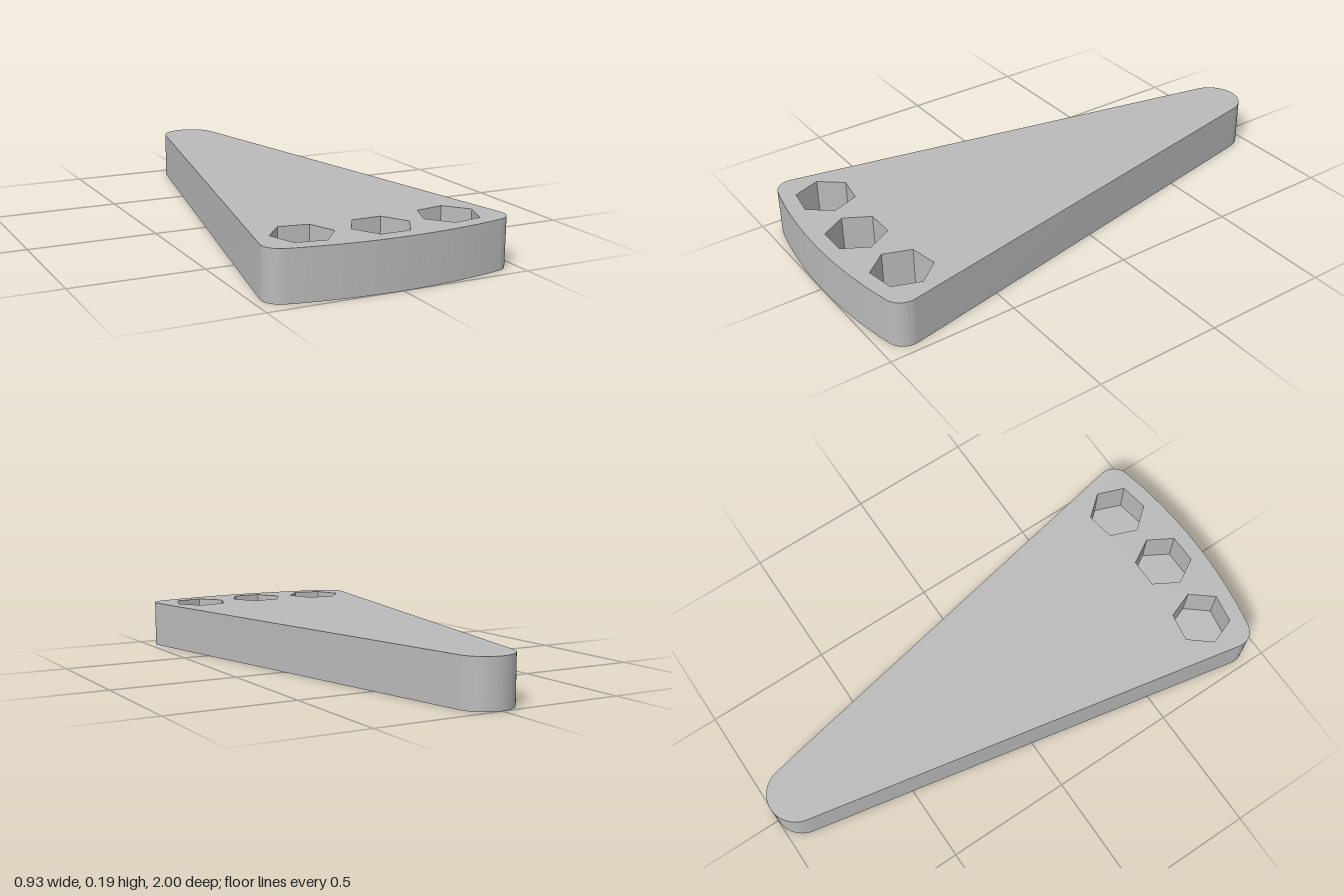
import * as THREE from 'three';
import { toCreasedNormals } from 'three/addons/utils/BufferGeometryUtils.js';

const HEIGHT = 0.186;
const PIVOT = 0.885; // narrow end centre, measured towards the back
const rad = THREE.MathUtils.degToRad;

// Plan points are (x, -z), anticlockwise seen from above
function arc(cx, cy, r, from, to, steps) {
  return Array.from({ length: steps + 1 }, (_, i) => {
    const a = rad(from + ((to - from) * i) / steps);
    return new THREE.Vector2(cx + r * Math.cos(a), cy + r * Math.sin(a));
  });
}

function hexagon(cx, cy, r, turn) {
  return arc(cx, cy, r, turn, turn + 300, 5);
}

// Flat face at height y, facing up or down
function cap(outline, holes, y, up) {
  const shape = new THREE.Shape(outline);
  shape.holes = holes.map((h) => new THREE.Path(h));
  const g = new THREE.ShapeGeometry(shape);
  if (!up) {
    const index = g.index.array;
    for (let i = 0; i < index.length; i += 3) {
      [index[i], index[i + 1]] = [index[i + 1], index[i]];
    }
    g.computeVertexNormals();
  }
  return g.rotateX(-Math.PI / 2).translate(0, y, 0);
}

// Upright wall round a closed loop, facing out or in
function wall(loop, y0, y1, inward = false) {
  const pts = inward ? [...loop].reverse() : loop;
  const v = [];
  pts.forEach((p, i) => {
    const q = pts[(i + 1) % pts.length];
    v.push(p.x, y0, -p.y, q.x, y0, -q.y, q.x, y1, -q.y);
    v.push(p.x, y0, -p.y, q.x, y1, -q.y, p.x, y1, -p.y);
  });
  const g = new THREE.BufferGeometry();
  g.setAttribute('position', new THREE.Float32BufferAttribute(v, 3));
  g.computeVertexNormals();
  return toCreasedNormals(g, rad(30));
}

export function createModel() {
  const group = new THREE.Group();
  group.name = 'wedge';
  const grey = new THREE.MeshStandardMaterial({ color: 0xbababa });
  grey.name = 'grey';
  const add = (name, geometry) => {
    const mesh = new THREE.Mesh(geometry, grey);
    mesh.name = name;
    group.add(mesh);
  };

  // Tapered outline: bowed front, two rounded corners, rounded narrow end
  const side = 11.2, spread = 12.62;
  const outline = [
    ...arc(0, PIVOT, 1.885, 270 - spread, 270 + spread, 16).slice(0, -1),
    ...arc(0.397, -0.886, 0.07, spread - 90, side, 12),
    ...arc(0, PIVOT, 0.115, side, 180 - side, 28),
    ...arc(-0.397, -0.886, 0.07, 180 - side, 270 - spread, 12).slice(0, -1),
  ];

  // Three hexagonal pockets fanned about the narrow end
  const pockets = [-9.5, 0, 9.5].map((turn) => {
    const a = rad(turn);
    return hexagon(1.727 * Math.sin(a), PIVOT - 1.727 * Math.cos(a), 0.113, turn);
  });
  // Blind socket under the narrow end
  const socket = hexagon(0, PIVOT, 0.057, 0);

  add('outerWall', wall(outline, 0, HEIGHT));
  add('topFace', cap(outline, pockets, HEIGHT, true));
  add('bottomFace', cap(outline, [socket], 0, false));

  const pocketFloor = 0.04;
  pockets.forEach((p, i) => {
    add(`pocketWall${i + 1}`, wall(p, pocketFloor, HEIGHT, true));
    add(`pocketFloor${i + 1}`, cap(p, [], pocketFloor, true));
  });

  const socketRoof = 0.14;
  add('socketWall', wall(socket, 0, socketRoof, true));
  add('socketRoof', cap(socket, [], socketRoof, false));
  return group;
}
